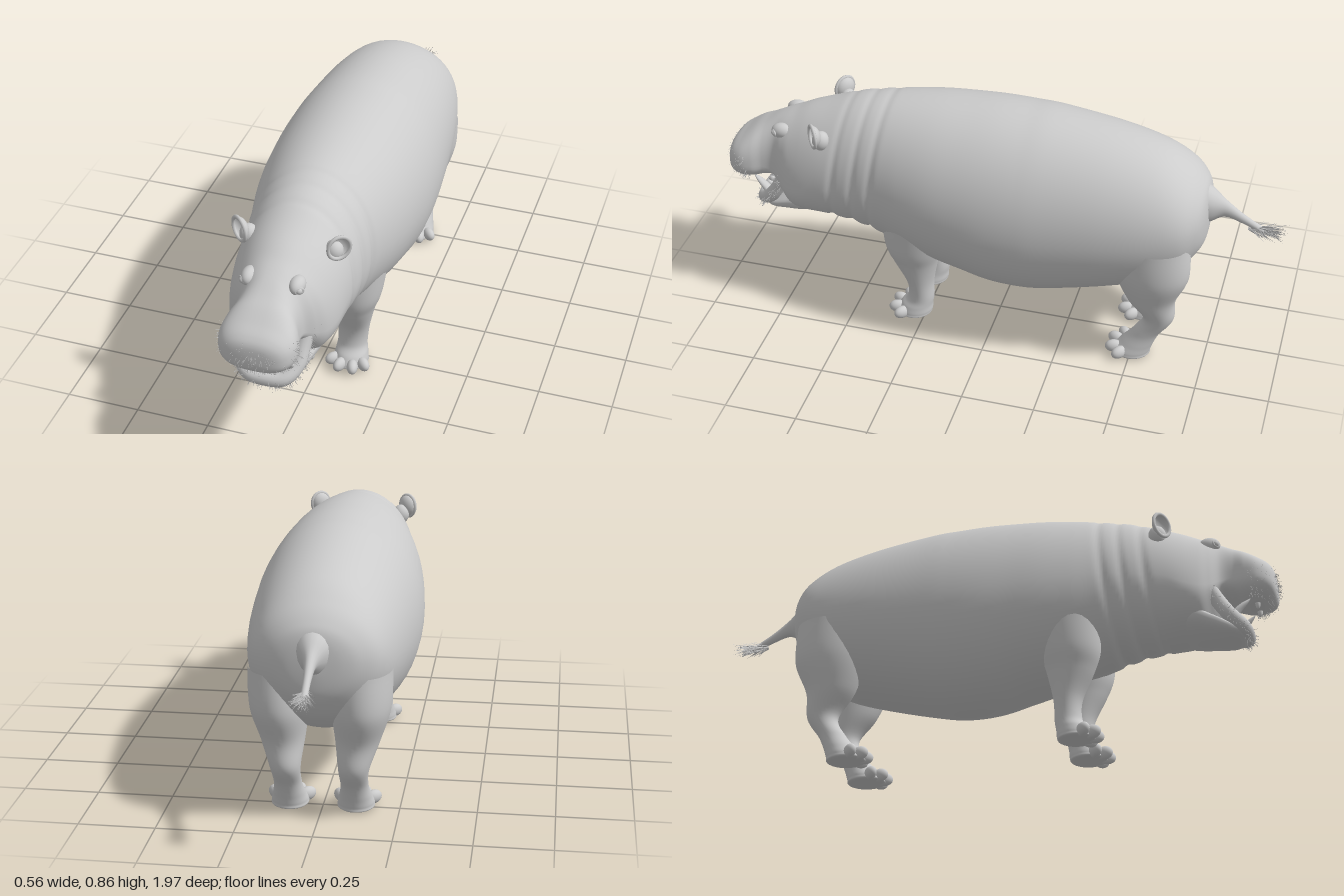
import * as THREE from 'three';
import { mergeGeometries } from 'three/addons/utils/BufferGeometryUtils.js';

const skin = new THREE.MeshStandardMaterial({ color: 0xcccccc, roughness: 0.8 });
const thin = new THREE.MeshStandardMaterial({ color: 0xcccccc, roughness: 0.8, side: THREE.DoubleSide });

let seed = 7;
const rand = () => (seed = (seed * 16807) % 2147483647) / 2147483647;
const spread = (r) => (rand() * 2 - 1) * r;

function add(parent, name, geometry, material = skin) {
  const mesh = new THREE.Mesh(geometry, material);
  mesh.name = name;
  parent.add(mesh);
  return mesh;
}

function ball(parent, name, pos, radii) {
  const mesh = add(parent, name, new THREE.SphereGeometry(1, 24, 16));
  mesh.position.set(...pos);
  mesh.scale.set(...radii);
  return mesh;
}

// Smoothly interpolated rows joined into a closed skin; section(row, angle) gives a point
function loft(rows, section, steps = 8, sides = 32) {
  const pos = [], index = [];
  const row = (i) => rows[Math.min(Math.max(i, 0), rows.length - 1)];
  const rings = (rows.length - 1) * steps + 1;
  for (let r = 0; r < rings; r++) {
    const i = Math.min(Math.floor(r / steps), rows.length - 2), t = r / steps - i;
    const at = row(i).map((b, k) => {
      const a = row(i - 1)[k], c = row(i + 1)[k], d = row(i + 2)[k];
      return b + 0.5 * t * (c - a + t * (2 * a - 5 * b + 4 * c - d + t * (3 * (b - c) + d - a)));
    });
    for (let j = 0; j < sides; j++) pos.push(...section(at, (j / sides) * Math.PI * 2));
  }
  for (let r = 0; r < rings - 1; r++) {
    for (let j = 0; j < sides; j++) {
      const a = r * sides + j, b = r * sides + ((j + 1) % sides);
      index.push(a, b, a + sides, b, b + sides, a + sides);
    }
  }
  const g = new THREE.BufferGeometry();
  g.setAttribute('position', new THREE.Float32BufferAttribute(pos, 3));
  g.setIndex(index);
  g.computeVertexNormals();
  return g;
}

// Lengthwise section: [z, top, widest height, bottom, half width]
const lengthwise = ([z, top, mid, bottom, w], a) => {
  const c = Math.cos(a), s = Math.sin(a);
  const e = 1 - 0.22 * THREE.MathUtils.smoothstep(z, 0.68, 0.85);
  // skin folds round the neck
  let fold = 1;
  for (const f of [0.41, 0.475, 0.55]) fold -= 0.035 * Math.exp(-(((z - f + 0.03 * s) / 0.013) ** 2)) * (1 - 0.7 * Math.max(s, 0));
  return [
    Math.sign(c) * Math.abs(c) ** e * Math.max(w, 0) * fold,
    mid + Math.sign(s) * Math.abs(s) ** e * (s > 0 ? top - mid : mid - bottom) * fold,
    z,
  ];
};
// Upright section: [y, centre x, centre z, radius x, radius z]
const upright = ([y, cx, cz, rx, rz], a) => [cx + rx * Math.cos(a), y, cz - rz * Math.sin(a)];

const BODY = [
  [-0.725, 0.56, 0.55, 0.54, 0], [-0.715, 0.645, 0.56, 0.46, 0.09], [-0.69, 0.69, 0.56, 0.41, 0.15],
  [-0.64, 0.735, 0.55, 0.35, 0.2], [-0.55, 0.785, 0.53, 0.29, 0.232], [-0.4, 0.825, 0.52, 0.24, 0.257],
  [-0.2, 0.855, 0.51, 0.19, 0.276], [-0.1, 0.86, 0.51, 0.178, 0.281], [0, 0.863, 0.51, 0.185, 0.28],
  [0.1, 0.86, 0.52, 0.21, 0.272], [0.2, 0.855, 0.53, 0.235, 0.26], [0.3, 0.845, 0.54, 0.268, 0.24],
  [0.4, 0.83, 0.55, 0.3, 0.215], [0.5, 0.81, 0.54, 0.33, 0.2], [0.6, 0.775, 0.53, 0.343, 0.19],
  [0.67, 0.75, 0.5, 0.35, 0.18], [0.72, 0.727, 0.49, 0.365, 0.163], [0.755, 0.712, 0.5, 0.42, 0.138],
  [0.79, 0.695, 0.52, 0.475, 0.11], [0.83, 0.672, 0.53, 0.472, 0.108], [0.87, 0.65, 0.53, 0.462, 0.121],
  [0.91, 0.622, 0.53, 0.46, 0.124], [0.945, 0.597, 0.525, 0.468, 0.106], [0.963, 0.57, 0.52, 0.485, 0.07],
  [0.968, 0.525, 0.52, 0.515, 0],
];
const JAW = [
  [0.58, 0.46, 0.42, 0.37, 0.1], [0.68, 0.455, 0.42, 0.348, 0.135], [0.75, 0.42, 0.395, 0.342, 0.118],
  [0.81, 0.385, 0.37, 0.34, 0.095], [0.85, 0.375, 0.365, 0.345, 0.06], [0.865, 0.365, 0.36, 0.355, 0],
];
const TAIL = [
  [-0.92, 0.512, 0.512, 0.512, 0], [-0.9, 0.527, 0.517, 0.507, 0.01], [-0.83, 0.57, 0.553, 0.535, 0.013],
  [-0.77, 0.615, 0.585, 0.552, 0.022], [-0.72, 0.655, 0.6, 0.525, 0.05], [-0.66, 0.68, 0.6, 0.5, 0.075],
];
const FRONT_LEG = [
  [0.006, 0.098, 0.29, 0, 0], [0.007, 0.098, 0.29, 0.055, 0.055], [0.02, 0.098, 0.288, 0.06, 0.062],
  [0.045, 0.098, 0.28, 0.056, 0.056], [0.08, 0.097, 0.265, 0.051, 0.046], [0.15, 0.1, 0.265, 0.056, 0.048],
  [0.24, 0.108, 0.277, 0.069, 0.078], [0.31, 0.115, 0.28, 0.085, 0.1], [0.42, 0.12, 0.27, 0.095, 0.12],
];
const REAR_LEG = [
  [0.004, 0.108, -0.5, 0, 0], [0.005, 0.108, -0.5, 0.055, 0.06], [0.02, 0.108, -0.502, 0.06, 0.065],
  [0.05, 0.108, -0.52, 0.053, 0.056], [0.1, 0.108, -0.55, 0.045, 0.047], [0.17, 0.11, -0.588, 0.05, 0.053],
  [0.26, 0.12, -0.56, 0.072, 0.085], [0.37, 0.13, -0.56, 0.095, 0.125], [0.5, 0.13, -0.55, 0.1, 0.13],
];
const TUSK = [
  [0.365, 0.072, 0.8, 0.017, 0.017], [0.41, 0.073, 0.825, 0.018, 0.017],
  [0.445, 0.07, 0.857, 0.012, 0.012], [0.466, 0.066, 0.882, 0, 0],
];

// Many thin spikes merged into one mesh; sample() gives root, direction and length
function hairs(parent, name, count, radius, sample) {
  const up = new THREE.Vector3(0, 1, 0), list = [];
  for (let i = 0; i < count; i++) {
    const [root, dir, length] = sample();
    const g = new THREE.ConeGeometry(radius, length, 3, 1, true).translate(0, length / 2, 0);
    g.applyQuaternion(new THREE.Quaternion().setFromUnitVectors(up, dir.normalize()));
    list.push(g.translate(root.x, root.y, root.z));
  }
  add(parent, name, mergeGeometries(list), thin);
}

function makeLeg(parent, name, rows, s) {
  const leg = new THREE.Group();
  leg.name = name;
  add(leg, 'limb', loft(rows.map(([y, x, z, rx, rz]) => [y, s * x, z, rx, rz]), upright));
  // four splayed toes
  const [, x, z] = rows[1];
  for (const a of [-1.15, -0.4, 0.4, 1.15]) {
    const toe = ball(leg, 'toe', [s * x + 0.058 * Math.sin(a), 0.024, z + 0.012 + 0.05 * Math.cos(a)], [0.019, 0.023, 0.03]);
    toe.rotation.y = a * 0.7;
  }
  parent.add(leg);
}

export function createModel() {
  const model = new THREE.Group();
  model.name = 'hippopotamus';
  add(model, 'bodyAndHead', loft(BODY, lengthwise, 12, 56));
  add(model, 'lowerJaw', loft(JAW, lengthwise));
  add(model, 'tail', loft(TAIL, lengthwise, 8, 16));

  // rim of the open lower lip
  const rim = [[0.108, 0.53, 0.735], [0.1, 0.46, 0.772], [0.092, 0.405, 0.81], [0.06, 0.372, 0.848]];
  const path = [...rim, [0, 0.366, 0.856], ...rim.toReversed().map(([x, y, z]) => [-x, y, z])];
  const lip = new THREE.CatmullRomCurve3(path.map((p) => new THREE.Vector3(...p)));
  add(model, 'lowerLip', new THREE.TubeGeometry(lip, 48, 0.025, 14));
  ball(model, 'tongue', [0, 0.4, 0.77], [0.05, 0.022, 0.07]);

  for (const s of [1, -1]) {
    const side = s > 0 ? 'left' : 'right';
    makeLeg(model, side + 'FrontLeg', FRONT_LEG, s);
    makeLeg(model, side + 'RearLeg', REAR_LEG, s);

    // cupped ear with a rolled rim
    const ear = new THREE.Group();
    ear.name = side + 'Ear';
    add(ear, 'cup', new THREE.SphereGeometry(0.036, 24, 10, 0, Math.PI * 2, 0, Math.PI / 2).rotateX(-Math.PI / 2).scale(1, 1.12, 0.75), thin);
    add(ear, 'rim', new THREE.TorusGeometry(0.036, 0.006, 8, 28).scale(1, 1.12, 1));
    ear.position.set(s * 0.163, 0.727, 0.61);
    ear.rotation.set(0, s * 0.65, -s * 0.25);
    model.add(ear);
    ball(model, side + 'EarBase', [s * 0.14, 0.7, 0.59], [0.03, 0.035, 0.03]);

    // eye, lids and brow
    ball(model, side + 'Brow', [s * 0.077, 0.672, 0.755], [0.026, 0.028, 0.038]);
    ball(model, side + 'Eye', [s * 0.09, 0.67, 0.778], [0.012, 0.012, 0.012]);
    const lids = add(model, side + 'Eyelids', new THREE.TorusGeometry(0.013, 0.004, 8, 20).scale(1, 0.8, 1));
    lids.position.set(s * 0.092, 0.67, 0.78);
    lids.rotation.y = s * 0.7;

    const nostril = add(model, side + 'Nostril', new THREE.TorusGeometry(0.014, 0.007, 8, 20));
    nostril.position.set(s * 0.052, 0.59, 0.925);
    nostril.rotation.set(-0.7, s * 0.4, 0);

    // teeth
    add(model, side + 'Tusk', loft(TUSK.map(([y, x, z, rx, rz]) => [y, s * x, z, rx, rz]), upright, 6, 14));
    ball(model, side + 'UpperTooth', [s * 0.032, 0.462, 0.9], [0.009, 0.022, 0.009]);
    for (const x of [0.014, 0.036]) ball(model, side + 'LowerTooth', [s * x, 0.392, 0.85], [0.008, 0.014, 0.012]);
  }

  // whiskers on the muzzle, bristles on the chin, tuft on the tail
  hairs(model, 'whiskers', 420, 0.0014, () => {
    const a = spread(1.5), b = spread(0.75) - 0.1;
    const n = new THREE.Vector3(Math.sin(a) * Math.cos(b), Math.sin(b), Math.cos(a) * Math.cos(b));
    const root = new THREE.Vector3(n.x * 0.119, 0.528 + n.y * 0.075, 0.875 + n.z * 0.085);
    return [root, n.add(new THREE.Vector3(spread(0.4), -0.5 + spread(0.4), 0)), 0.018 + rand() * 0.016];
  });
  hairs(model, 'chinBristles', 200, 0.0013, () => {
    const root = lip.getPoint(rand());
    const n = new THREE.Vector3(root.x * 8, -0.5 + spread(0.6), 0.3 + spread(0.4)).normalize();
    return [root.addScaledVector(n, 0.022), n, 0.012 + rand() * 0.014];
  });
  hairs(model, 'tailTuft', 110, 0.0028, () => {
    const root = new THREE.Vector3(spread(0.008), 0.52 + spread(0.008), -0.85 - rand() * 0.07);
    return [root, new THREE.Vector3(spread(0.75), -0.1 + spread(0.4), -1), 0.05 + rand() * 0.025];
  });
  return model;
}
